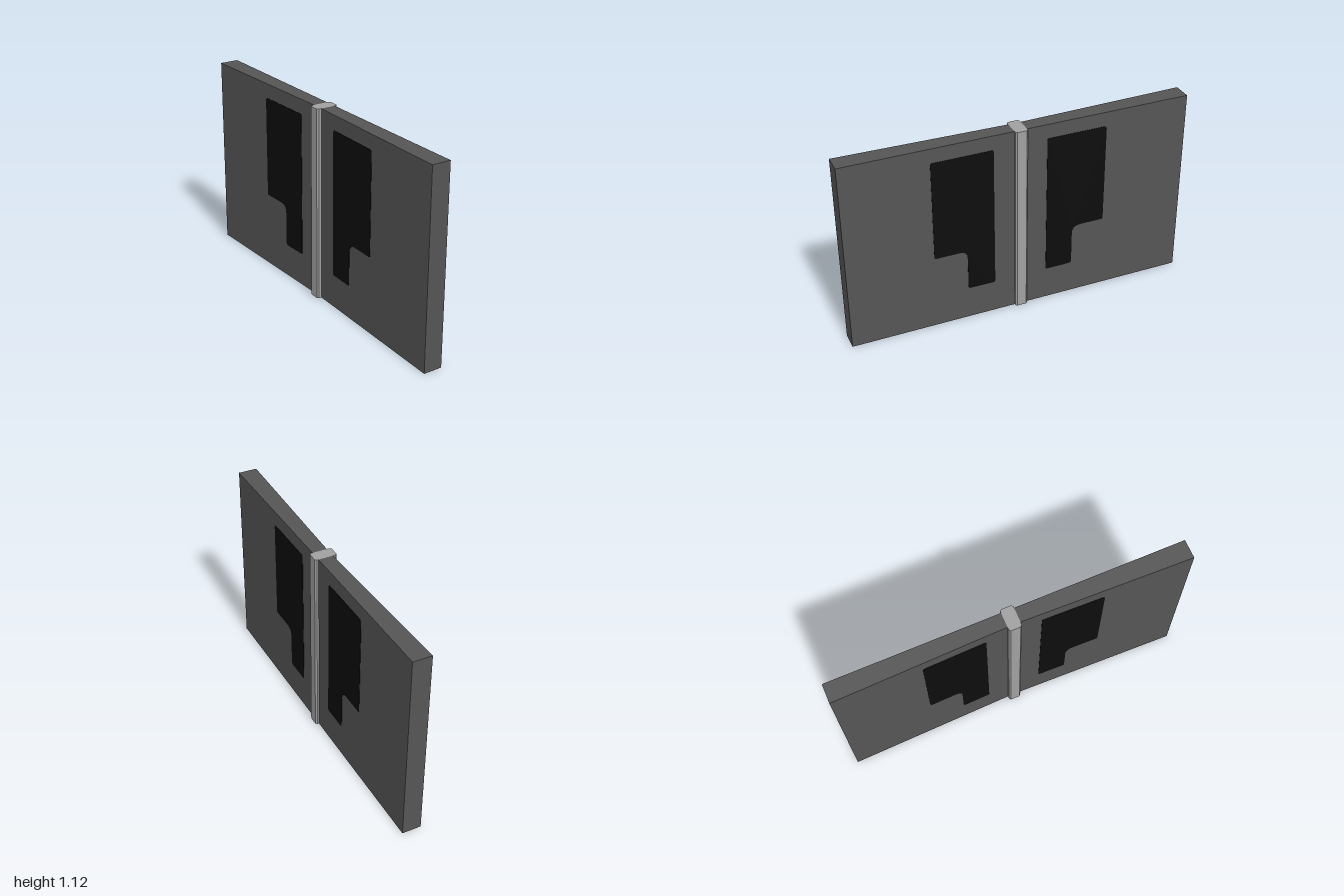
import * as THREE from 'three';

const HEIGHT = 1.125, HALF_POST = 0.036;
const FLAT_FACE = 0.045;
const taperedFace = (z) => -0.038 - 0.026 * Math.abs(z);

// Closed polygon whose corners [x, y, radius] are rounded
function roundedShape(corners) {
  const shape = new THREE.Shape();
  const n = corners.length;
  corners.forEach(([x, y, r], i) => {
    const c = new THREE.Vector2(x, y);
    const toward = (j) => {
      const [px, py] = corners[(j + n) % n];
      return new THREE.Vector2(px, py).sub(c).setLength(r).add(c);
    };
    const a = toward(i - 1), b = toward(i + 1);
    if (i === 0) shape.moveTo(a.x, a.y);
    else shape.lineTo(a.x, a.y);
    shape.quadraticCurveTo(x, y, b.x, b.y);
  });
  shape.closePath();
  return shape;
}

// Plan outline in (x, z) raised to full height
function upright(points) {
  const shape = new THREE.Shape(points.map(([x, z]) => new THREE.Vector2(x, -z)));
  return new THREE.ExtrudeGeometry(shape, { depth: HEIGHT, bevelEnabled: false }).rotateX(-Math.PI / 2);
}

// Thin stepped window, laid on the flat (+1) or tapered (-1) wall face
function windowPlate(end, side) {
  const shape = roundedShape([
    [0.155, 0.195, 0.012], [0.315, 0.195, 0.015], [0.315, 0.445, 0.05],
    [0.507, 0.445, 0.01], [0.507, 1.04, 0.015], [0.155, 1.04, 0.012],
  ].map(([z, y, r]) => [-side * end * z, y, r]));
  const geo = new THREE.ExtrudeGeometry(shape, { depth: 0.002, bevelEnabled: false, curveSegments: 5 });
  geo.rotateY(side * Math.PI / 2);
  const p = geo.attributes.position;
  for (let i = 0; i < p.count; i++) {
    p.setX(i, p.getX(i) + (side > 0 ? FLAT_FACE : taperedFace(p.getZ(i))));
  }
  geo.computeVertexNormals();
  return geo;
}

export function createModel() {
  const model = new THREE.Group();
  const wallGrey = new THREE.MeshStandardMaterial({ color: 0x555555 });
  wallGrey.name = 'wall grey';
  const postGrey = new THREE.MeshStandardMaterial({ color: 0xa0a0a0 });
  postGrey.name = 'post grey';
  const black = new THREE.MeshStandardMaterial({ color: 0x0d0d0d });
  black.name = 'window black';

  const add = (name, geometry, material) => {
    const mesh = new THREE.Mesh(geometry, material);
    mesh.name = name;
    model.add(mesh);
  };

  // Two wall panels, thicker toward their outer ends, with windows on both faces
  for (const end of [1, -1]) {
    const label = end > 0 ? 'front' : 'back';
    const z0 = end * HALF_POST, z1 = end;
    add(label + 'WallPanel', upright([
      [FLAT_FACE, z0], [FLAT_FACE, z1], [taperedFace(z1), z1], [taperedFace(z0), z0],
    ]), wallGrey);
    for (const side of [1, -1]) {
      add(label + (side > 0 ? 'Left' : 'Right') + 'Window', windowPlate(end, side), black);
    }
  }

  // Central post with chamfered edges
  const x = 0.064, z = HALF_POST, c = 0.009;
  add('centrePost', upright([
    [x, z - c], [x - c, z], [c - x, z], [-x, z - c],
    [-x, c - z], [c - x, -z], [x - c, -z], [x, c - z],
  ]), postGrey);

  return model;
}
